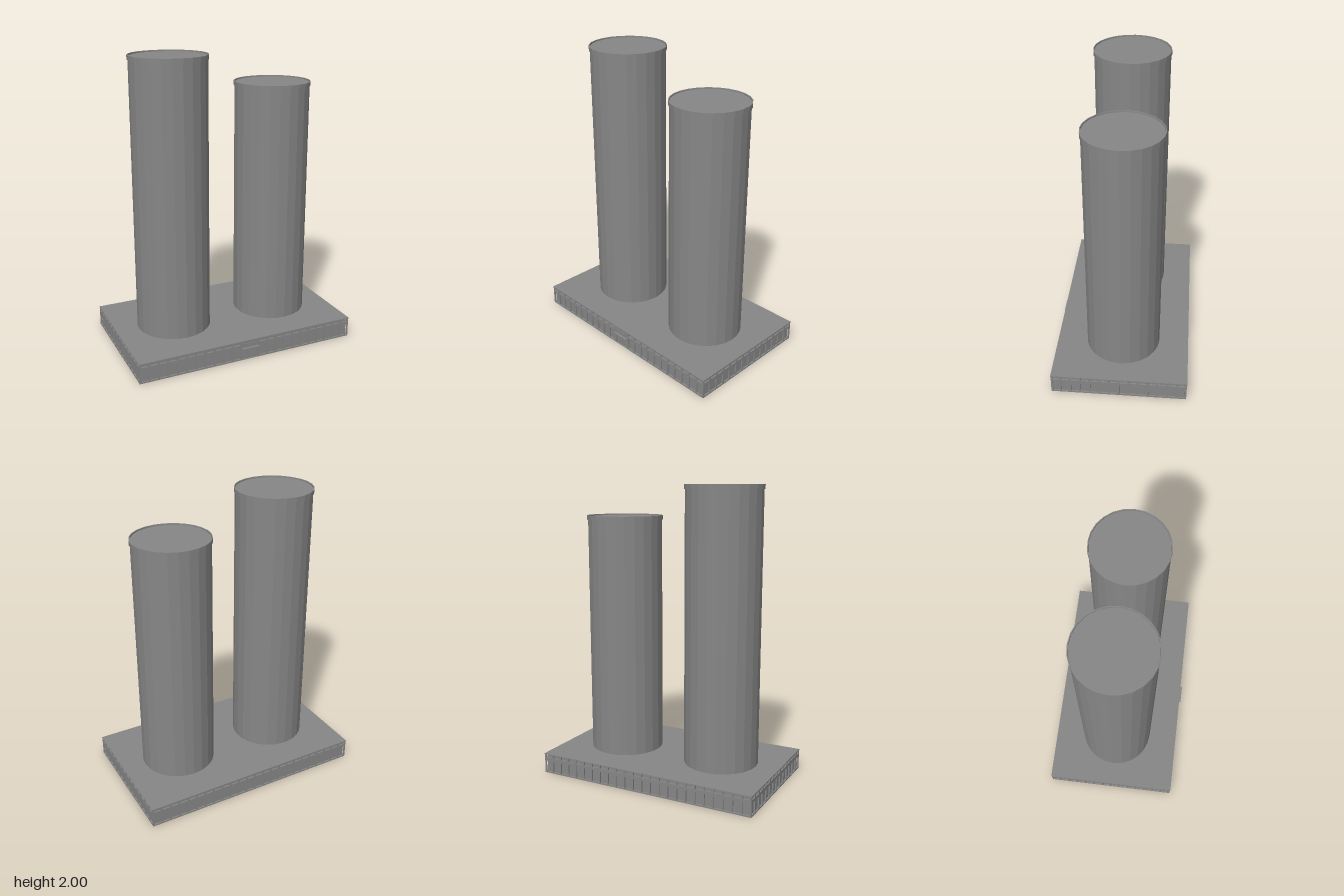
import * as THREE from 'three';

const concrete = new THREE.MeshStandardMaterial({ color: 0x868686 });
concrete.name = 'concrete grey';
concrete.flatShading = true;

const PITCH = 0.065, WALL_H = 0.14, DEPTH = 0.012;
const W = PITCH * 24, D = PITCH * 14, CZ = -0.01;

function add(parent, name, geometry, x = 0, y = 0, z = 0) {
  const mesh = new THREE.Mesh(geometry, concrete);
  mesh.name = name;
  mesh.position.set(x, y, z);
  parent.add(mesh);
  return mesh;
}

function box(parent, name, w, h, d, x, y, z) {
  return add(parent, name, new THREE.BoxGeometry(w, h, d), x, y, z);
}

function rectPath(x0, y0, x1, y1, PathType = THREE.Path) {
  const p = new PathType();
  p.moveTo(x0, y0);
  p.lineTo(x1, y0);
  p.lineTo(x1, y1);
  p.lineTo(x0, y1);
  p.closePath();
  return p;
}

// Podium wall facing +z, its outer face at z = 0, pierced by window bays
function createWall(name, bays, hasDoor) {
  const wall = new THREE.Group();
  wall.name = name;
  const len = bays * PITCH;
  const shape = rectPath(-len / 2, 0, len / 2, WALL_H, THREE.Shape);
  for (let i = 0; i < bays; i++) {
    const x = (i - (bays - 1) / 2) * PITCH;
    if (hasDoor && Math.abs(x) < PITCH) continue;
    shape.holes.push(rectPath(x - 0.027, 0.01, x + 0.027, 0.09));
    shape.holes.push(rectPath(x - 0.025, 0.112, x + 0.025, 0.134));
  }
  if (hasDoor) shape.holes.push(rectPath(-0.055, 0.004, 0.055, 0.08));
  const front = new THREE.ExtrudeGeometry(shape, { depth: DEPTH, bevelEnabled: false });
  add(wall, 'windowFrames', front, 0, 0, -DEPTH);
  box(wall, 'windowPanes', len - 0.03, WALL_H - 0.004, 0.004, 0, WALL_H / 2, -DEPTH);
  return wall;
}

// Tower shaft with a thin raised rim around a slightly sunken roof
function createTower(name, x, top) {
  const tower = new THREE.Group();
  tower.name = name;
  tower.position.set(x, 0, CZ);
  const h = top - 0.01 - WALL_H;
  add(tower, 'shaft', new THREE.CylinderGeometry(0.254, 0.254, h, 24), 0, WALL_H + h / 2, 0);
  const profile = [[0.253, top - 0.03], [0.26, top - 0.03], [0.26, top], [0.254, top], [0.253, top - 0.012]]
    .map(([r, y]) => new THREE.Vector2(r, y));
  add(tower, 'rim', new THREE.LatheGeometry(profile, 24));
  return tower;
}

export function createModel() {
  const model = new THREE.Group();
  model.name = 'twinTowers';

  // Hollow podium: four walls under a thin roof slab
  const podium = new THREE.Group();
  podium.name = 'podium';
  model.add(podium);
  const sides = [
    ['frontWall', 24, 0, 0, D / 2],
    ['leftWall', 14, Math.PI / 2, W / 2, 0],
    ['backWall', 24, Math.PI, 0, -D / 2],
    ['rightWall', 14, -Math.PI / 2, -W / 2, 0],
  ];
  for (const [name, bays, turn, x, z] of sides) {
    const wall = createWall(name, bays, name === 'frontWall');
    wall.rotation.y = turn;
    wall.position.set(x, 0, z + CZ);
    podium.add(wall);
  }
  box(podium, 'roofSlab', W + 0.004, 0.006, D + 0.004, 0, WALL_H - 0.002, CZ);

  // Entrance with canopy, two door leaves and a plain panel above
  const entrance = new THREE.Group();
  entrance.name = 'entrance';
  entrance.position.z = D / 2 + CZ;
  model.add(entrance);
  box(entrance, 'canopy', 0.125, 0.009, 0.017, 0, 0.084, 0.0075);
  box(entrance, 'panel', 0.085, 0.02, 0.004, 0, 0.108, 0.001);
  for (const s of [-1, 1]) box(entrance, 'doorLeaf', 0.051, 0.07, 0.004, s * 0.027, 0.04, -0.008);

  model.add(createTower('tallTower', -0.372, 2));
  model.add(createTower('shortTower', 0.372, 1.79));
  return model;
}
